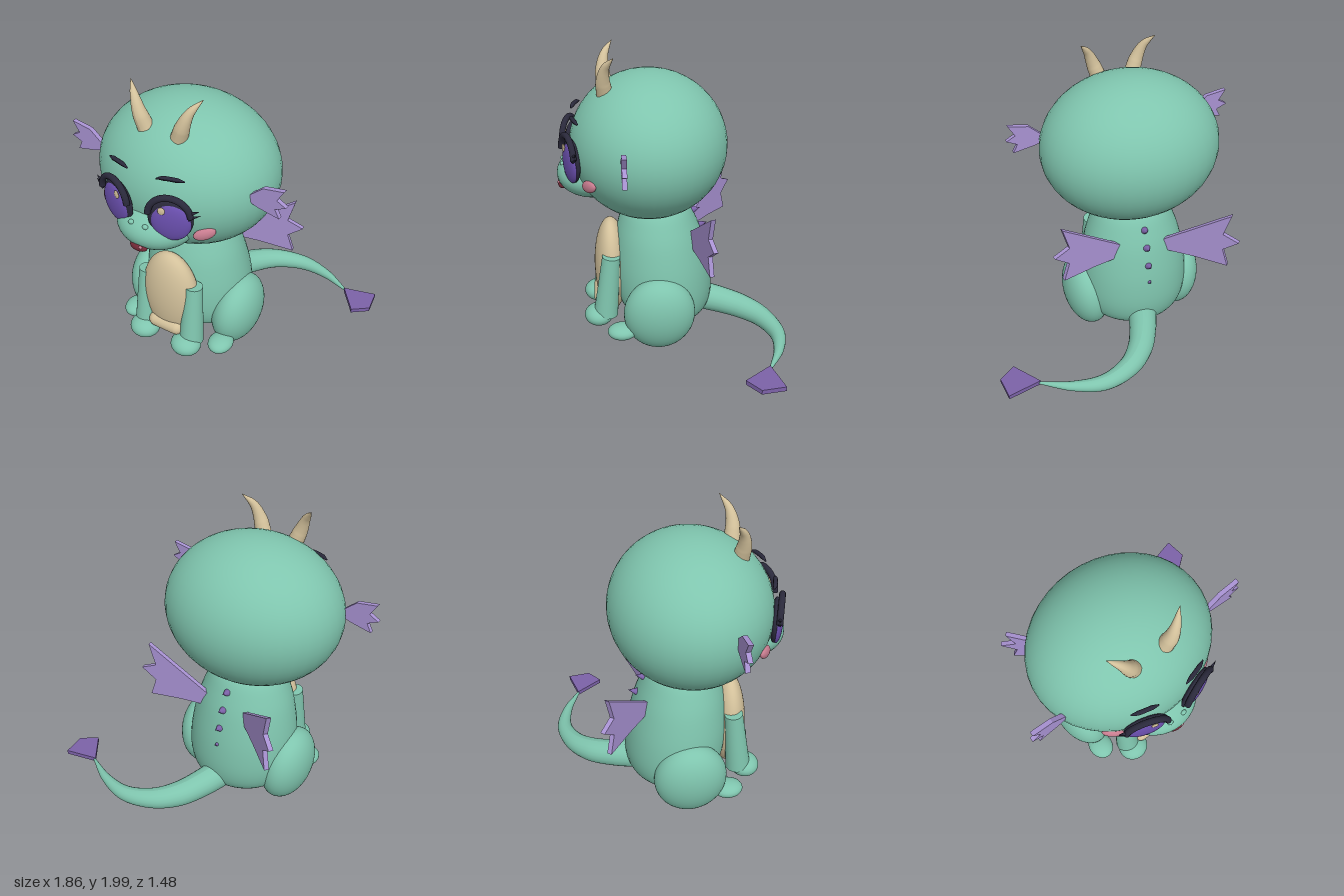
import * as THREE from 'three';

const mat = (name, color) => Object.assign(new THREE.MeshStandardMaterial({ color }), { name });

export function createModel() {
  const skin = mat('teal skin', 0x7fc5ae), cream = mat('cream', 0xd3c19b), fin = mat('lavender fin', 0xa892d2),
    spike = mat('dark violet', 0x7c62a8), iris = mat('violet iris', 0x6a4fae), dark = mat('dark lash', 0x2a293b),
    blush = mat('pink blush', 0xc97d90), mouthRed = mat('dark red mouth', 0x762a38);
  const root = new THREE.Group();
  root.name = 'babyDragon';
  const dragon = new THREE.Group(); // everything symmetric about the dragon's own middle
  dragon.name = 'dragon';
  dragon.position.x = -0.163;
  root.add(dragon);

  const add = (name, geo, material, parent = dragon, pos = [0, 0, 0], rot = [0, 0, 0]) => {
    const m = new THREE.Mesh(geo, material);
    m.name = name;
    m.position.set(...pos);
    m.rotation.set(...rot);
    parent.add(m);
    return m;
  };
  const ball = (name, material, pos, radii, rot, parent) =>
    add(name, new THREE.SphereGeometry(1, 40, 28).scale(...radii), material, parent, pos, rot);
  // Tube along a smooth path whose radius follows the listed values
  const taper = (points, radii, n = 36, sides = 20) => {
    const curve = new THREE.CatmullRomCurve3(points.map(p => new THREE.Vector3(...p)));
    const geo = new THREE.TubeGeometry(curve, n, 1, sides);
    const p = geo.attributes.position, v = new THREE.Vector3();
    for (let i = 0; i <= n; i++) {
      const c = curve.getPointAt(i / n), f = (i / n) * (radii.length - 1);
      const k = Math.min(Math.floor(f), radii.length - 2);
      const r = THREE.MathUtils.lerp(radii[k], radii[k + 1], f - k);
      for (let j = 0; j <= sides; j++) {
        const id = i * (sides + 1) + j;
        v.fromBufferAttribute(p, id).sub(c).multiplyScalar(r).add(c);
        p.setXYZ(id, v.x, v.y, v.z);
      }
    }
    geo.computeVertexNormals();
    return geo;
  };
  // Flat plate from an outline, centred on its thickness
  const plate = (points, depth = 0.03) =>
    new THREE.ExtrudeGeometry(new THREE.Shape(points.map(p => new THREE.Vector2(...p))),
      { depth, bevelEnabled: false }).translate(0, 0, -depth / 2);

  // Body: pear-shaped lathe leaning slightly forward
  const profile = new THREE.SplineCurve([[0, 0.1], [0.2, 0.115], [0.32, 0.18], [0.37, 0.31], [0.37, 0.5],
    [0.335, 0.7], [0.29, 0.84], [0.235, 0.95], [0.15, 1.02]].map(p => new THREE.Vector2(...p)));
  const bodyGeo = new THREE.LatheGeometry(profile.getPoints(40).map(p => p.setX(Math.max(p.x, 0))), 48).scale(1, 1, 0.9);
  const bp = bodyGeo.attributes.position;
  for (let i = 0; i < bp.count; i++) bp.setZ(i, bp.getZ(i) + 0.05 + 0.08 * (bp.getY(i) - 0.5));
  add('body', bodyGeo, skin);
  ball('belly', cream, [0, 0.49, 0.4], [0.21, 0.35, 0.115]);
  add('bellyFold', new THREE.CapsuleGeometry(0.052, 0.16, 10, 20), cream, dragon, [0, 0.28, 0.475], [0, 0, Math.PI / 2]);

  // Head and face
  ball('head', skin, [0, 1.377, 0.13], [0.592, 0.48, 0.515]);
  ball('snout', skin, [0, 1.19, 0.5], [0.255, 0.155, 0.235]);
  ball('mouth', mouthRed, [0, 1.115, 0.703], [0.06, 0.034, 0.03], [0.4, 0, 0]);
  ball('mouthHighlight', blush, [0.028, 1.13, 0.725], [0.012, 0.009, 0.008]);

  const earShape = [[0.53, 1.43], [0.54, 1.46], [0.62, 1.53], [0.755, 1.553], [0.71, 1.48], [0.77, 1.447],
    [0.7, 1.415], [0.73, 1.357], [0.595, 1.385], [0.55, 1.4]];
  const wingShape = [[0, 0.7], [0.03, 0.78], [0.475, 1.075], [0.43, 0.92], [0.535, 0.875], [0.435, 0.8],
    [0.475, 0.675], [0.245, 0.695]];

  for (const s of [1, -1]) {
    const side = s > 0 ? 'left' : 'right';
    const mirror = pts => pts.map(([x, ...rest]) => [s * x, ...rest]);

    // Eye with iris, highlight and lashes
    const eye = new THREE.Group();
    eye.name = side + 'Eye';
    eye.position.set(s * 0.185, 1.34, 0.625);
    eye.rotation.y = s * 0.33;
    dragon.add(eye);
    ball('eyeRim', dark, [0, 0, 0], [0.137, 0.142, 0.035], [0, 0, 0], eye);
    ball('iris', iris, [s * 0.006, -0.014, 0.012], [0.121, 0.128, 0.036], [0, 0, 0], eye);
    ball('eyeHighlight', cream, [-s * 0.042, 0.075, 0.038], [0.022, 0.026, 0.008], [0, 0, 0], eye);
    add('upperLash', new THREE.TorusGeometry(0.127, 0.02, 12, 36, Math.PI * 0.96), dark, eye,
      [0, 0.038, 0.028], [0, 0, Math.PI * 0.02]);
    for (const [y, len] of [[0.055, 0.08], [0.085, 0.06]])
      add('lashTip', new THREE.ConeGeometry(0.014, len, 10), dark, eye, [s * 0.152, y, 0.028], [0, 0, -s * 1.15]);

    add(side + 'Brow', taper(mirror([[0.098, 1.59, 0.625], [0.135, 1.601, 0.617], [0.22, 1.601, 0.593],
      [0.262, 1.593, 0.575]]), [0.004, 0.014, 0.014, 0.014, 0.004], 20, 10), dark);
    ball(side + 'Cheek', blush, [s * 0.35, 1.225, 0.522], [0.07, 0.04, 0.025], [0, s * 0.6, s * 0.3]);
    ball(side + 'Nostril', skin, [s * 0.05, 1.27, 0.693], [0.019, 0.015, 0.015]);
    add(side + 'Horn', taper(mirror([[0.115, 1.745, 0.405], [0.15, 1.84, 0.413], [0.188, 1.925, 0.397],
      [0.247, 2, 0.347]]), [0.052, 0.047, 0.035, 0.021, 0.001]), cream);
    add(side + 'Ear', plate(mirror(earShape)), fin, dragon, [0, 0, 0.312]);

    // Wings are swept back by different amounts
    add(side + 'Wing', plate(mirror(wingShape)), fin, dragon, [s * 0.113, 0, s > 0 ? -0.13 : -0.145],
      [0, s > 0 ? 0.2 : -0.68, 0]);

    // Arms and legs
    add(side + 'Arm', new THREE.CylinderGeometry(0.06, 0.083, 0.44, 28), skin, dragon, [s * 0.18, 0.42, 0.425], [-0.11, 0, 0]);
    ball(side + 'Hand', skin, [s * 0.167, 0.19, 0.497], [0.105, 0.072, 0.098]);
    ball(side + 'Thigh', skin, [s * 0.335, 0.278, 0.09], [0.158, 0.268, 0.24], [0, 0, -s * 0.12]);
    ball(side + 'Foot', skin, [s * 0.347, 0.157, 0.342], [0.084, 0.053, 0.1]);
  }

  // Row of spikes shrinking down the back
  [[0.88, -0.17, 0.042], [0.77, -0.225, 0.037], [0.65, -0.268, 0.03], [0.53, -0.29, 0.014]].forEach(([y, z, r]) =>
    add('backSpike', new THREE.ConeGeometry(r, r * 2.4, 16), spike, dragon, [0, y, z], [-1.25, 0, 0]));

  // Tail curling to the left, with a flat fin at its tip
  add('tail', taper([[-0.163, 0.23, -0.15], [-0.085, 0.2, -0.37], [-0.01, 0.18, -0.51], [0.11, 0.165, -0.625],
    [0.3, 0.155, -0.692], [0.5, 0.16, -0.66], [0.7, 0.165, -0.565]],
  [0.1, 0.093, 0.083, 0.066, 0.05, 0.03, 0.008], 60), skin, root);
  add('tailFin', plate([[0.69, 0.565], [0.91, 0.62], [0.93, 0.465], [0.825, 0.385]]).rotateX(-Math.PI / 2),
    spike, root, [0, 0.166, 0]);
  return root;
}
